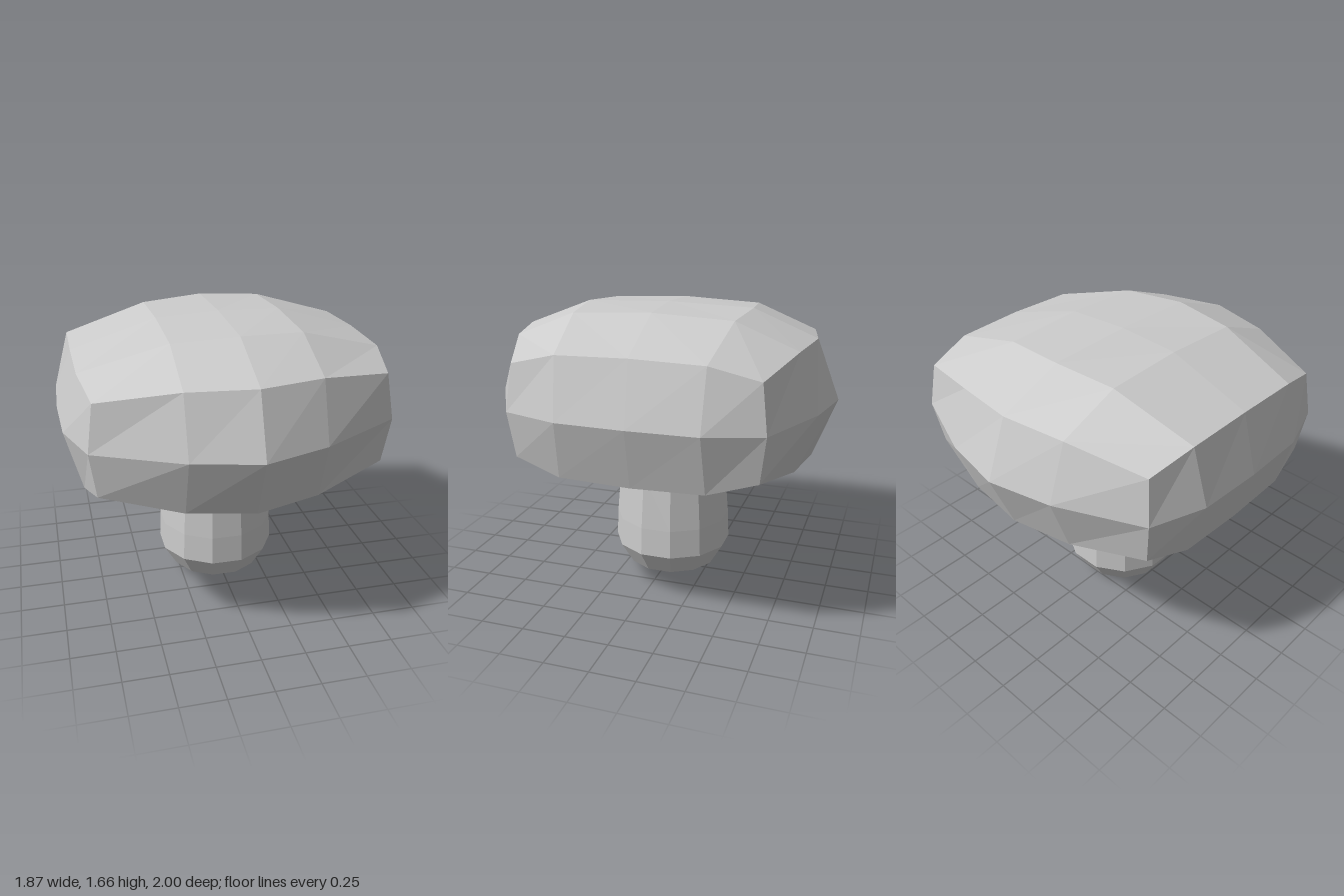
import * as THREE from 'three';

const material = () => new THREE.MeshStandardMaterial({ color: 0xcccccc, flatShading: true });

function faceted(geometry) {
  const g = geometry.toNonIndexed();
  g.computeVertexNormals();
  return g;
}

// Half sizes by grid step from the centre: [step in x][step in z]
const rim = { // upper and lower layers
  x: [[0, 0, 0], [0.36, 0.36, 0.36], [0.84, 0.835, 0.785]],
  z: [[0, 0.495, 0.87], [0, 0.455, 0.8], [0, 0.395, 0.66]],
  y: [[0.5, 0.485, 0.335], [0.485, 0.465, 0.325], [0.335, 0.325, 0.255]],
};
const belt = { // widest layer, at mid height
  x: [[0, 0, 0], [0.36, 0.36, 0.36], [0.937, 0.925, 0.82]],
  z: [[0, 0.5, 1.0], [0, 0.46, 0.91], [0, 0.38, 0.69]],
};

// Cap: a segmented box swollen into a rounded cushion, with a slight skew
function capGeometry() {
  const g = new THREE.BoxGeometry(4, 2, 4, 4, 2, 4);
  const p = g.attributes.position;
  for (let i = 0; i < p.count; i++) {
    const [gx, gy, gz] = [p.getX(i), p.getY(i), p.getZ(i)].map(Math.round);
    const a = Math.abs(gx), c = Math.abs(gz);
    const layer = gy === 0 ? belt : rim;
    const x = Math.sign(gx) * layer.x[a][c];
    const z = Math.sign(gz) * layer.z[a][c];
    const y = gy * rim.y[a][c];
    const shift = c === 2 && a === 0 ? 0 : -0.01 - 0.05 * x * x;
    p.setXYZ(i, x, 1.158 + y + 0.009 * x, z + shift - 0.035 * x);
  }
  return faceted(g);
}

export function createModel() {
  const group = new THREE.Group();

  const cap = new THREE.Mesh(capGeometry(), material());
  cap.name = 'cap';
  group.add(cap);

  // Stem: twelve-sided, bulging low down and ending in a shallow point
  const profile = [[0, 0], [0.273, 0.063], [0.35, 0.192], [0.343, 0.36], [0.315, 0.68], [0.31, 0.76], [0, 0.76]]
    .map(([r, y]) => new THREE.Vector2(r, y));
  const stem = new THREE.Mesh(faceted(new THREE.LatheGeometry(profile, 12, Math.PI / 12)), material());
  stem.name = 'stem';
  stem.position.set(-0.018, 0, -0.03);
  group.add(stem);

  return group;
}
